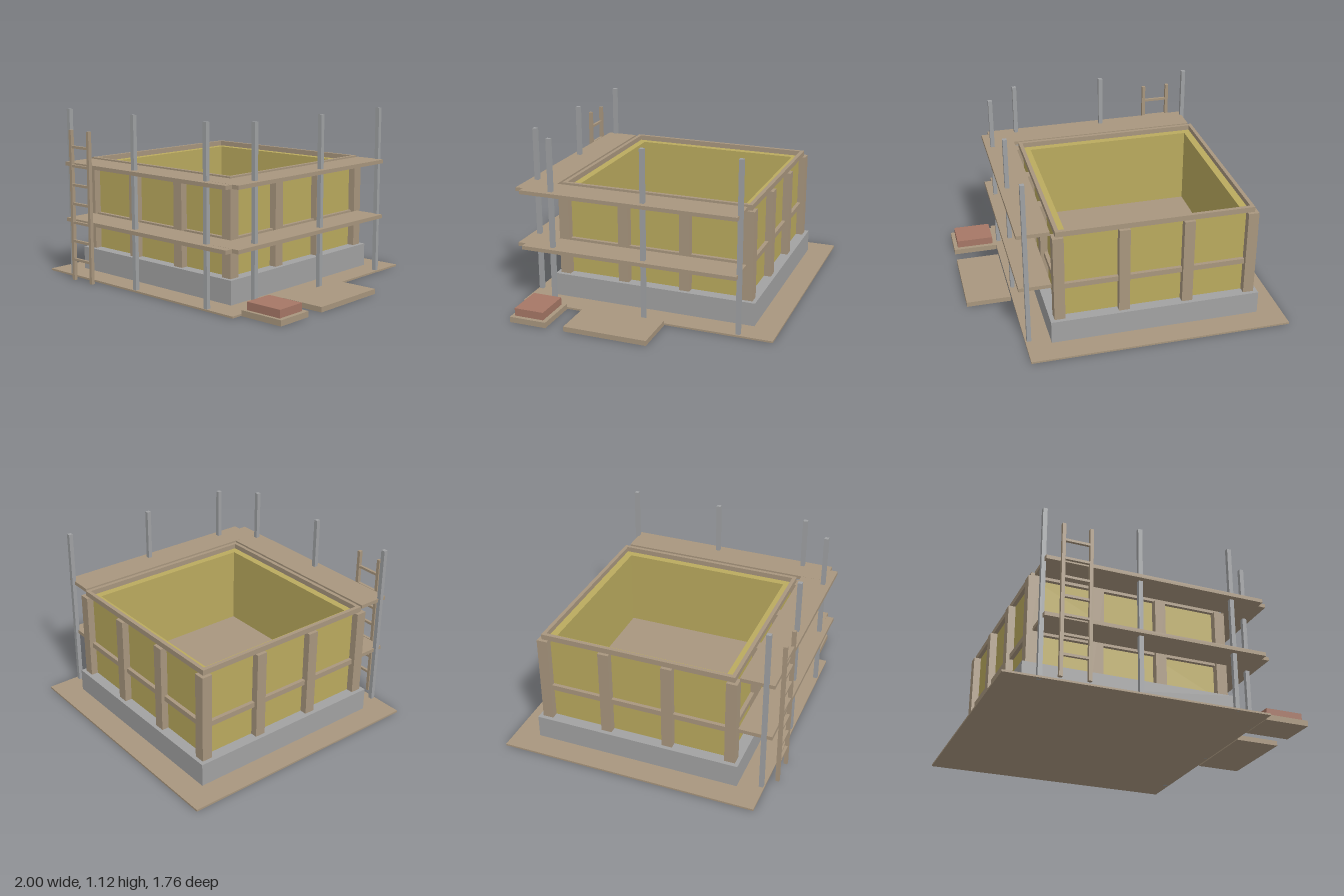
import * as THREE from 'three';

const mat = (name, color) => {
  const m = new THREE.MeshStandardMaterial({ color });
  m.name = name;
  return m;
};

export function createModel() {
  const timber = mat('timber', 0xa8967e);
  const panel = mat('yellow formwork panel', 0xbaaa5e);
  const concrete = mat('concrete', 0xa2a2a2);
  const steel = mat('steel', 0x9fa1a3);
  const brick = mat('brick', 0xa67766);

  const model = new THREE.Group();
  model.name = 'constructionSite';

  // Box given by its limits on each axis
  const box = (parent, name, material, x0, x1, y0, y1, z0, z1) => {
    const mesh = new THREE.Mesh(new THREE.BoxGeometry(x1 - x0, y1 - y0, z1 - z0), material);
    mesh.position.set((x0 + x1) / 2, (y0 + y1) / 2, (z0 + z1) / 2);
    mesh.name = name;
    parent.add(mesh);
    return mesh;
  };
  const group = (name, x = 0, z = 0) => {
    const g = new THREE.Group();
    g.name = name;
    g.position.set(x, 0, z);
    model.add(g);
    return g;
  };
  const square = (path, h) => path.moveTo(-h, -h).lineTo(h, -h).lineTo(h, h).lineTo(-h, h).closePath();

  // Square ring lying flat, from half-widths
  const ring = (parent, name, material, outer, inner, y0, y1) => {
    const shape = square(new THREE.Shape(), outer);
    shape.holes.push(square(new THREE.Path(), inner));
    const geo = new THREE.ExtrudeGeometry(shape, { depth: y1 - y0, bevelEnabled: false });
    geo.rotateX(-Math.PI / 2);
    const mesh = new THREE.Mesh(geo, material);
    mesh.position.y = y0;
    mesh.name = name;
    parent.add(mesh);
  };

  // Ground sheet
  box(model, 'groundSheet', timber, -1, 0.695, 0, 0.012, -0.885, 0.81);

  // Walled box on its concrete base
  const house = group('formwork', -0.1525, -0.037);
  box(house, 'foundation', concrete, -0.687, 0.687, 0.012, 0.165, -0.685, 0.685);
  box(house, 'floor', timber, -0.58, 0.58, 0.165, 0.225, -0.58, 0.58);
  ring(house, 'wallPanels', panel, 0.613, 0.565, 0.165, 0.751);
  ring(house, 'middleRail', timber, 0.638, 0.605, 0.375, 0.41);
  ring(house, 'topRail', timber, 0.638, 0.613, 0.75, 0.785);

  // Studs: four at the corners, two along each side
  const stud = (name, x, z) =>
    box(house, name, timber, x - 0.035, x + 0.035, 0.165, 0.75, z - 0.035, z + 0.035);
  for (const a of [-0.625, 0.625]) {
    for (const b of [-0.625, 0.625]) stud('cornerStud', a, b);
    for (const b of [-0.208, 0.208]) {
      stud('sideStud', a, b);
      stud('wallStud', b, a);
    }
  }

  // Scaffold decks, along the front and the left side
  const scaffold = group('scaffold');
  for (const y of [0.38, 0.755]) {
    box(scaffold, 'frontDeck', timber, -0.775, 0.67, y, y + 0.025, 0.625, 0.84);
    box(scaffold, 'sideDeck', timber, 0.513, 0.72, y + 0.0005, y + 0.0255, -0.655, 0.787);
  }

  // Scaffold poles
  const pole = (x, z) =>
    box(scaffold, 'pole', steel, x - 0.014, x + 0.014, 0, 1.125, z - 0.014, z + 0.014);
  for (const x of [-0.778, -0.155, 0.47]) pole(x, 0.79);
  for (const z of [-0.66, -0.035, 0.59]) pole(0.67, z);

  // Ladder
  const ladder = group('ladder', -0.59, 0.863);
  for (const s of [-1, 1]) {
    box(ladder, 'ladderRail', timber, s * 0.088 - 0.011, s * 0.088 + 0.011, 0, 1, -0.012, 0.012);
  }
  for (let i = 0; i < 7; i++) {
    const y = 0.14 + i * 0.125;
    box(ladder, 'rung', timber, -0.08, 0.08, y - 0.008, y + 0.008, -0.009, 0.009);
  }

  // Materials lying beside the site
  box(model, 'boardStack', timber, 0.705, 1, 0, 0.033, -0.185, 0.365);
  box(model, 'pallet', timber, 0.7, 1, 0, 0.037, 0.49, 0.738);
  box(model, 'brickStack', brick, 0.722, 0.973, 0.037, 0.088, 0.518, 0.716);

  return model;
}
